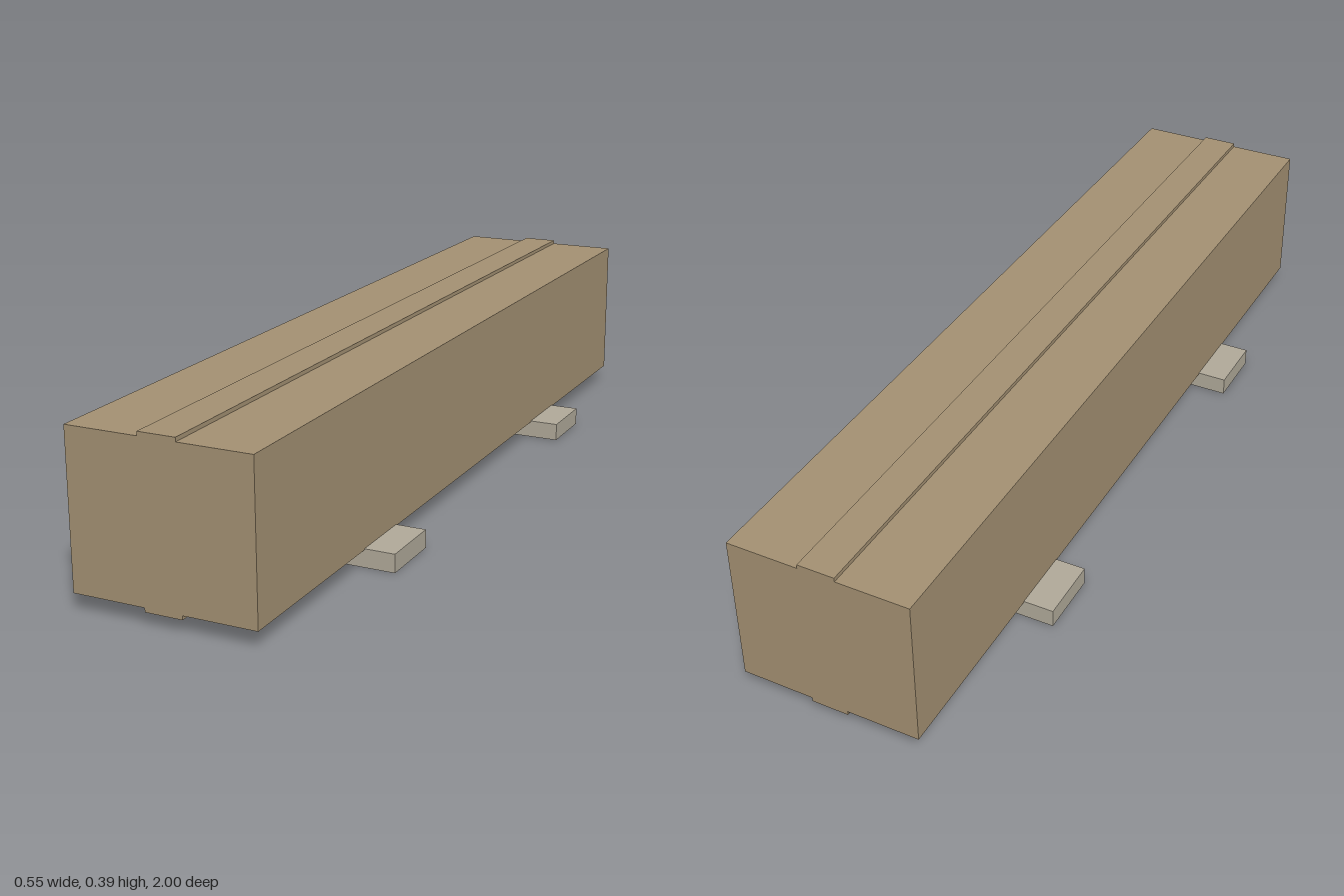
import * as THREE from 'three';

export function createModel() {
  const group = new THREE.Group();
  const wood = new THREE.MeshStandardMaterial({ color: 0xa39072 });
  wood.name = 'brown wood';
  const greyWood = new THREE.MeshStandardMaterial({ color: 0xb0a999 });
  greyWood.name = 'grey wood';

  // Beam section: a box with a shallow ridge along the top and bottom
  const w = 0.206, r = 0.042, bottom = 0.039, top = 0.383, low = 0.03, high = 0.392;
  const section = new THREE.Shape([
    [-w, bottom], [-r, bottom], [-r, low], [r, low], [r, bottom], [w, bottom],
    [w, top], [r, top], [r, high], [-r, high], [-r, top], [-w, top],
  ].map(([x, y]) => new THREE.Vector2(x, y)));
  const beamGeometry = new THREE.ExtrudeGeometry(section, { depth: 2, bevelEnabled: false });
  beamGeometry.translate(0, 0, -1);
  const beam = new THREE.Mesh(beamGeometry, wood);
  beam.name = 'beam';
  group.add(beam);

  // Two flat cross bars the beam rests on
  for (const [name, side] of [['frontSupport', 1], ['backSupport', -1]]) {
    const support = new THREE.Mesh(new THREE.BoxGeometry(0.552, 0.042, 0.154), greyWood);
    support.name = name;
    support.position.set(0, 0.021, side * 0.483);
    group.add(support);
  }
  return group;
}
